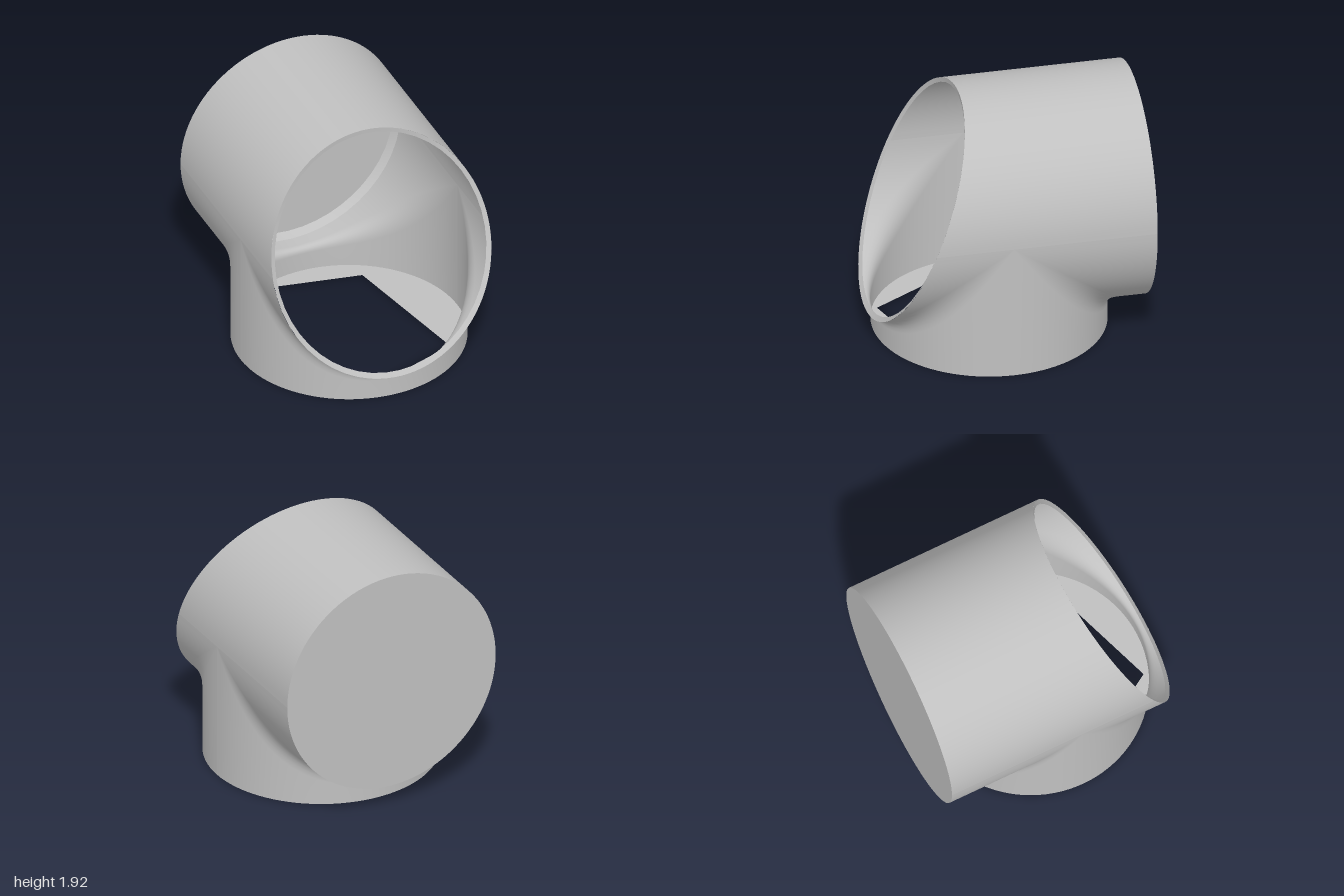
import * as THREE from 'three';

const R = 0.865;        // radius of both pipes
const LIP = 0.832;      // inner radius at the pipe rims
const AXIS_Y = 1.06;    // height of the horizontal pipe axis
const STEM_Z = 0.07;    // depth of the vertical pipe axis
const BACK = -1;
const STEPS = 48;

// depth of the slanted front opening at height y
const cutZ = (y) => 1 - (y - 0.19) * 0.405;

// smooth surface from a grid of points
function grid(rows, flip = false) {
  const n = rows[0].length;
  const index = [];
  for (let i = 0; i < rows.length - 1; i++) {
    for (let j = 0; j < n - 1; j++) {
      const a = i * n + j, b = a + n, c = b + 1, d = a + 1;
      if (flip) index.push(a, d, c, a, c, b);
      else index.push(a, b, c, a, c, d);
    }
  }
  const geo = new THREE.BufferGeometry();
  geo.setAttribute('position', new THREE.Float32BufferAttribute(rows.flat(2), 3));
  geo.setIndex(index);
  geo.computeVertexNormals();
  return geo;
}

// one row of points for each angle between two limits
function sweep(from, to, row) {
  return Array.from({ length: STEPS + 1 }, (_, i) => row(from + ((to - from) * i) / STEPS));
}

export function createModel() {
  const group = new THREE.Group();
  const grey = new THREE.MeshStandardMaterial({ color: 0xc0c0c0, side: THREE.DoubleSide });
  grey.name = 'pipe grey';

  const add = (name, geo) => {
    const mesh = new THREE.Mesh(geo, grey);
    mesh.name = name;
    group.add(mesh);
    return mesh;
  };

  // upper half of the horizontal pipe
  add('upperPipe', grid(sweep(-Math.PI / 2, Math.PI / 2, (t) => {
    const x = R * Math.sin(t), y = AXIS_Y + R * Math.cos(t);
    return [[x, y, BACK], [x, y, cutZ(y)]];
  }), true));

  // lower halves: horizontal pipe, blended into the vertical stem
  for (const s of [1, -1]) {
    add(s > 0 ? 'frontStem' : 'backStem', grid(sweep(-Math.PI / 2, Math.PI / 2, (t) => {
      const sin = Math.sin(t), cos = Math.max(0, Math.cos(t));
      const x = R * sin, y = AXIS_Y - R * cos, z = STEM_Z + s * R * cos;
      const end = s > 0 ? cutZ(y) : BACK;
      const fillet = Math.min(cos * (0.05 + 0.3 * sin * sin), Math.abs(end - z));
      const row = [[x, y, end]];
      for (let k = 0; k <= 6; k++) {
        const u = k / 6;
        row.push([x, y - fillet * u * u, z + s * fillet * (1 - u) * (1 - u)]);
      }
      row.push([x, 0, z]);
      return row;
    }), s > 0));
  }

  // narrow inward lips at the slanted opening and at the back
  add('frontLip', grid(sweep(0, Math.PI * 2, (t) => {
    const point = (r, inset) => {
      const y = AXIS_Y + r * Math.cos(t);
      return [r * Math.sin(t), y, cutZ(y) - inset];
    };
    return [point(R, 0), point(LIP, 0.015)];
  })));
  add('backLip', grid(sweep(0, Math.PI * 2, (t) => [
    [R * Math.sin(t), AXIS_Y + R * Math.cos(t), BACK + 0.06],
    [LIP * Math.sin(t), AXIS_Y + LIP * Math.cos(t), BACK + 0.002],
  ])));

  // closed back end
  const cap = add('backCap', new THREE.CircleGeometry(R, STEPS * 2));
  cap.rotation.y = Math.PI;
  cap.position.set(0, AXIS_Y, BACK);

  // base plate with a five-sided opening
  const base = new THREE.Shape();
  base.absarc(0, STEM_Z, R, 0, Math.PI * 2);
  base.holes.push(new THREE.Path([
    [0.6, 0.53], [0.39, -0.56], [-0.34, -0.7], [-0.77, 0.07], [-0.3, 0.84],
  ].map(([x, z]) => new THREE.Vector2(x, z))));
  add('basePlate', new THREE.ShapeGeometry(base, STEPS).rotateX(Math.PI / 2));

  return group;
}
